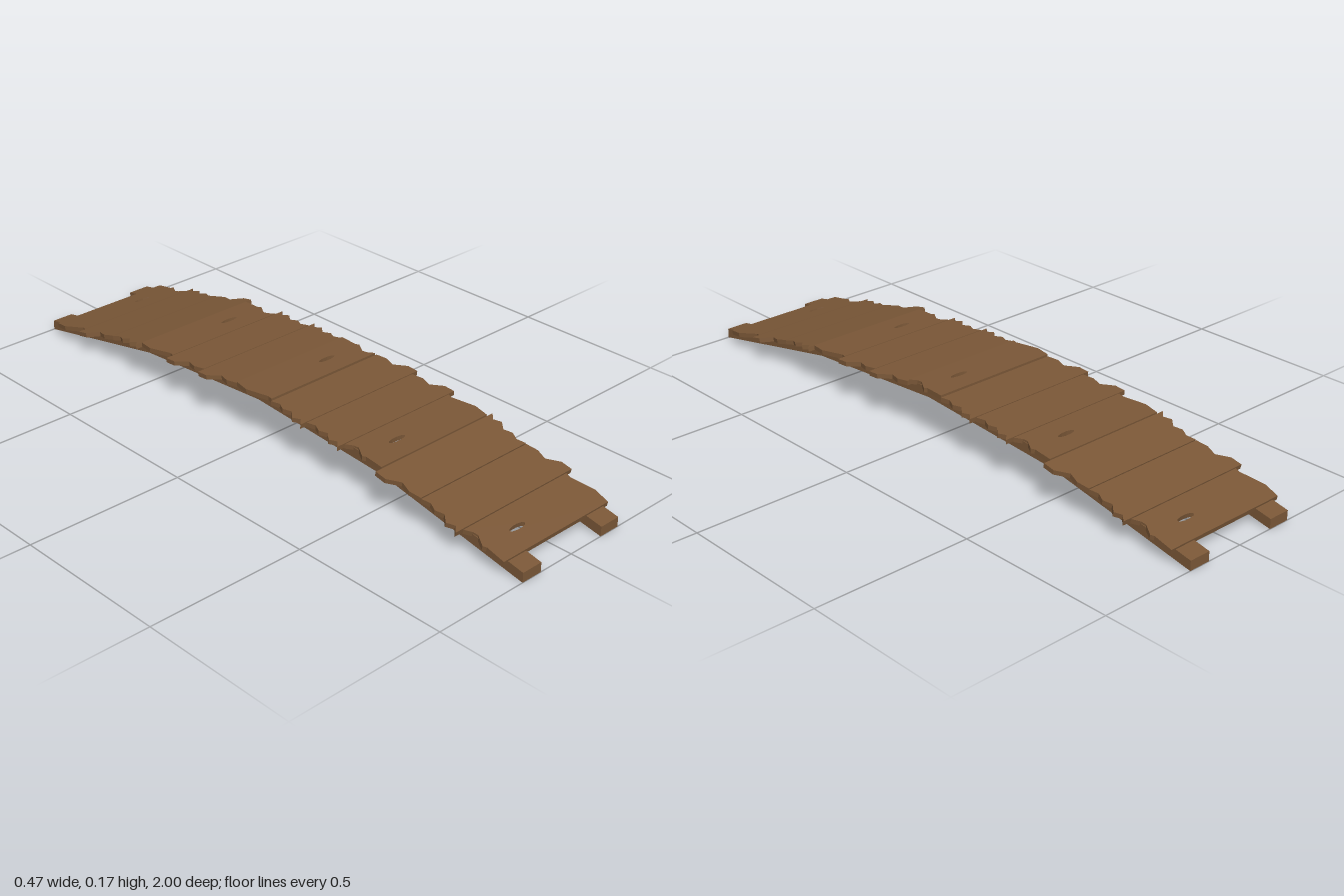
import * as THREE from 'three';

const PITCH = 0.1463, THICK = 0.014, HALF = 0.0715;

// Ragged plank ends as [x, z] points, running from back to front
const ENDS = {
  holed: {
    left: [[-0.212, -HALF], [-0.222, -0.02], [-0.204, 0.055], [-0.208, HALF]],
    right: [[0.21, -HALF], [0.206, -0.01], [0.212, 0.0], [0.19, 0.035], [0.192, 0.05], [0.207, HALF]],
  },
  plain: {
    left: [[-0.235, -HALF], [-0.235, -0.035], [-0.206, 0.0], [-0.217, 0.035], [-0.21, HALF]],
    right: [[0.233, -HALF], [0.213, -0.052], [0.226, -0.03], [0.204, -0.005], [0.215, 0.02], [0.203, 0.045], [0.212, HALF]],
  },
};

// Height of the top of the arched beams
function beamTop(z) {
  const a = Math.abs(z);
  return a < 0.5 ? 0.164 - 0.066 * a : 0.131 - 0.202 * (a - 0.5);
}

function plankGeometry(kind) {
  const { left, right } = ENDS[kind];
  const outline = [...left, ...[...right].reverse()].map(([x, z]) => new THREE.Vector2(x, -z));
  const shape = new THREE.Shape(outline);
  if (kind === 'holed') {
    const knot = new THREE.Path();
    knot.absellipse(0.077, 0, 0.031, 0.009, 0, Math.PI * 2, true);
    shape.holes.push(knot);
  }
  const g = new THREE.ExtrudeGeometry(shape, { depth: THICK, bevelEnabled: false, curveSegments: 5 });
  return g.rotateX(-Math.PI / 2).translate(0, -THICK, 0);
}

export function createModel() {
  const group = new THREE.Group();
  group.name = 'archedFootbridge';
  const wood = new THREE.MeshStandardMaterial({ name: 'brown wood', color: 0x7a5737, flatShading: true });

  // Two arched support beams
  const profile = new THREE.Shape([
    [-1, 0], [-0.5, 0.099], [0, 0.134], [0.5, 0.099], [1, 0],
    [1, 0.03], [0.5, 0.131], [0, 0.164], [-0.5, 0.131], [-1, 0.03],
  ].map(([z, y]) => new THREE.Vector2(z, y)));
  const beam = new THREE.ExtrudeGeometry(profile, { depth: 0.071, bevelEnabled: false });
  beam.rotateY(-Math.PI / 2).translate(0.0355, 0, 0);
  for (const side of [-1, 1]) {
    const mesh = new THREE.Mesh(beam, wood);
    mesh.name = side > 0 ? 'leftBeam' : 'rightBeam';
    mesh.position.x = side * 0.1575;
    group.add(mesh);
  }

  // Thirteen deck planks following the arch; some are turned end for end
  const geometries = { holed: plankGeometry('holed'), plain: plankGeometry('plain') };
  const turned = [-4, 1, 2, 3, 5, 6];
  for (let k = -6; k <= 6; k++) {
    const z = k * PITCH;
    const slope = k === 0 ? 0 : Math.abs(k) <= 3 ? 0.066 : 0.202;
    const holder = new THREE.Group();
    holder.name = `plank${k + 7}`;
    holder.position.set(0, beamTop(z) + 0.006, z);
    holder.rotation.x = Math.sign(k) * Math.atan(slope);
    const mesh = new THREE.Mesh(geometries[k % 3 === 0 ? 'holed' : 'plain'], wood);
    mesh.name = 'plankBoard';
    if (turned.includes(k)) mesh.rotation.y = Math.PI;
    mesh.scale.z = 1 / Math.cos(holder.rotation.x);
    holder.add(mesh);
    group.add(holder);
  }
  return group;
}
